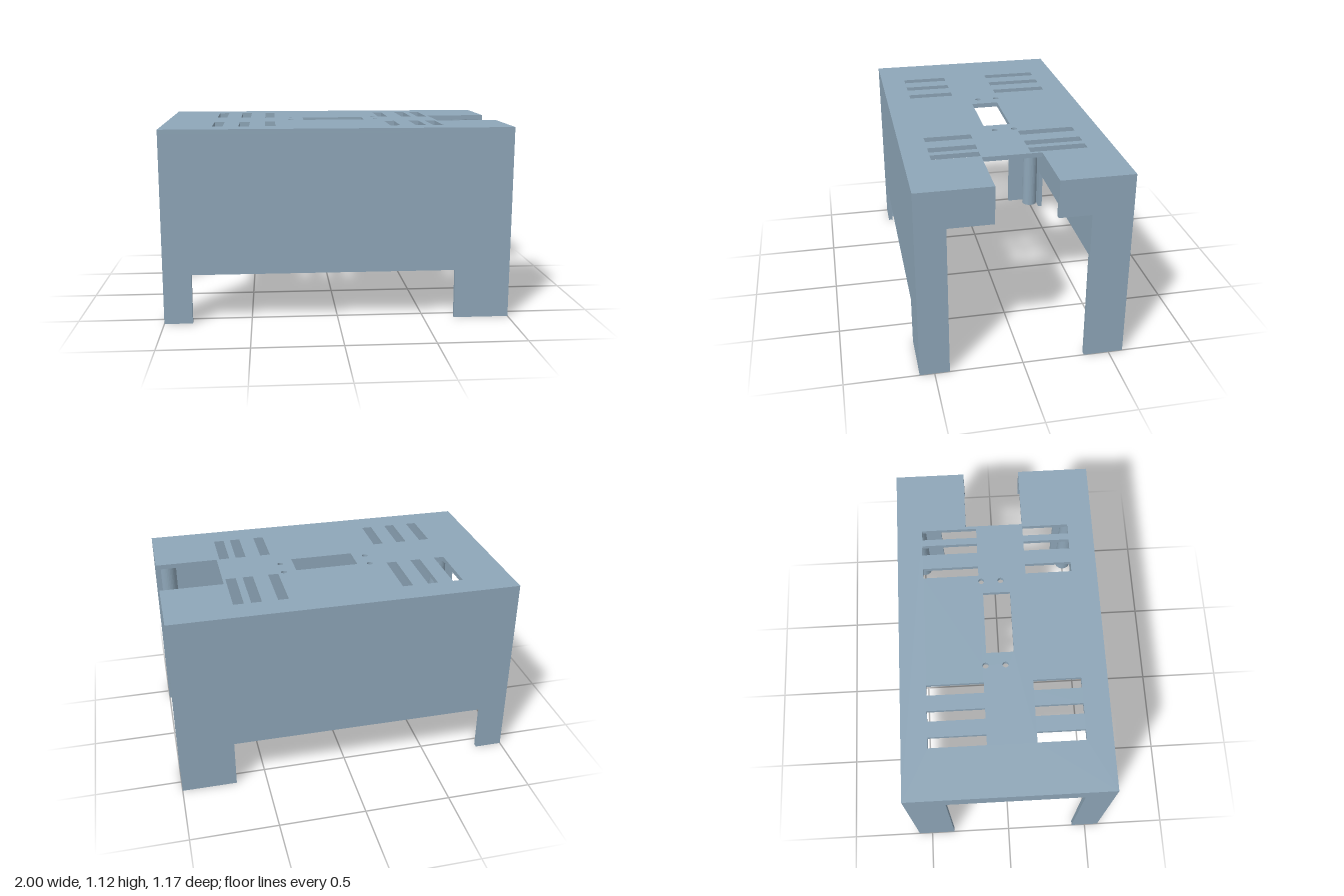
import * as THREE from 'three';

const H = 1.115, T = 0.027, D = 0.583; // height, sheet thickness, half depth

const poly = (pts) => new THREE.Shape(pts.map(([a, b]) => new THREE.Vector2(a, b)));

function rectHole(x0, x1, y0, y1) {
  const p = new THREE.Path();
  p.moveTo(x0, y0).lineTo(x0, y1).lineTo(x1, y1).lineTo(x1, y0).closePath();
  return p;
}

function roundHole(x, y, r) {
  const p = new THREE.Path();
  p.absarc(x, y, r, 0, Math.PI * 2, true);
  return p;
}

const extrude = (shape, depth) =>
  new THREE.ExtrudeGeometry(shape, { depth, bevelEnabled: false, curveSegments: 16 });

export function createModel() {
  const group = new THREE.Group();
  const mat = new THREE.MeshStandardMaterial({ color: 0x8ea6b8 });
  mat.name = 'blue grey';
  const add = (name, geo) => {
    const mesh = new THREE.Mesh(geo, mat);
    mesh.name = name;
    group.add(mesh);
  };

  // Top plate, drawn in x and z, with the end notch, slots and holes
  const top = poly([
    [-1, -D], [1, -D], [1, -0.173], [0.637, -0.173],
    [0.637, 0.163], [1, 0.163], [1, D], [-1, D],
  ]);
  for (const x of [-0.71, -0.56, -0.41, 0.31, 0.46, 0.56]) {
    top.holes.push(rectHole(x, x + 0.06, -0.435, -0.112));
    top.holes.push(rectHole(x, x + 0.06, 0.165, 0.435));
  }
  top.holes.push(rectHole(-0.175, 0.197, -0.09, 0.067));
  for (const x of [-0.25, 0.273])
    for (const z of [-0.097, 0.016]) top.holes.push(roundHole(x, z, 0.017));
  add('topPlate', extrude(top, T).rotateX(Math.PI / 2).translate(0, H, 0));

  // Long walls with a wide cutout between the feet
  const side = poly([
    [-1, 0], [-0.838, 0], [-0.838, 0.287], [0.68, 0.287],
    [0.68, 0], [1, 0], [1, H - T], [-1, H - T],
  ]);
  add('frontWall', extrude(side, T).translate(0, 0, D - T));
  add('backWall', extrude(side, T).translate(0, 0, -D));

  // End walls, drawn in z and y
  const E = D - T, Y = H - T;
  const endWall = (name, pts, x) =>
    add(name, extrude(poly(pts), T).rotateY(-Math.PI / 2).translate(x, 0, 0));
  endWall('rightEndWall', [
    [-E, 0], [-0.355, 0], [-0.355, 0.985], [0.415, 0.985],
    [0.415, 0], [E, 0], [E, Y], [-E, Y],
  ], -1 + T);
  endWall('leftEndBackLeg', [
    [-E, 0], [-0.355, 0], [-0.355, 0.9], [-0.173, 0.9], [-0.173, Y], [-E, Y],
  ], 1);
  endWall('leftEndFrontLeg', [
    [E, 0], [E, Y], [0.163, Y], [0.163, 0.9], [0.415, 0.9], [0.415, 0],
  ], 1);

  // Hollow screw posts in the four corners
  const ring = new THREE.Shape();
  ring.absarc(0, 0, 0.053, 0, Math.PI * 2, false);
  ring.holes.push(roundHole(0, 0, 0.018));
  for (const sx of [-1, 1])
    for (const sz of [-1, 1])
      add('screwPost', extrude(ring, Y).rotateX(Math.PI / 2)
        .translate(sx * (1 - 0.078), Y, sz * (D - 0.078)));

  return group;
}
